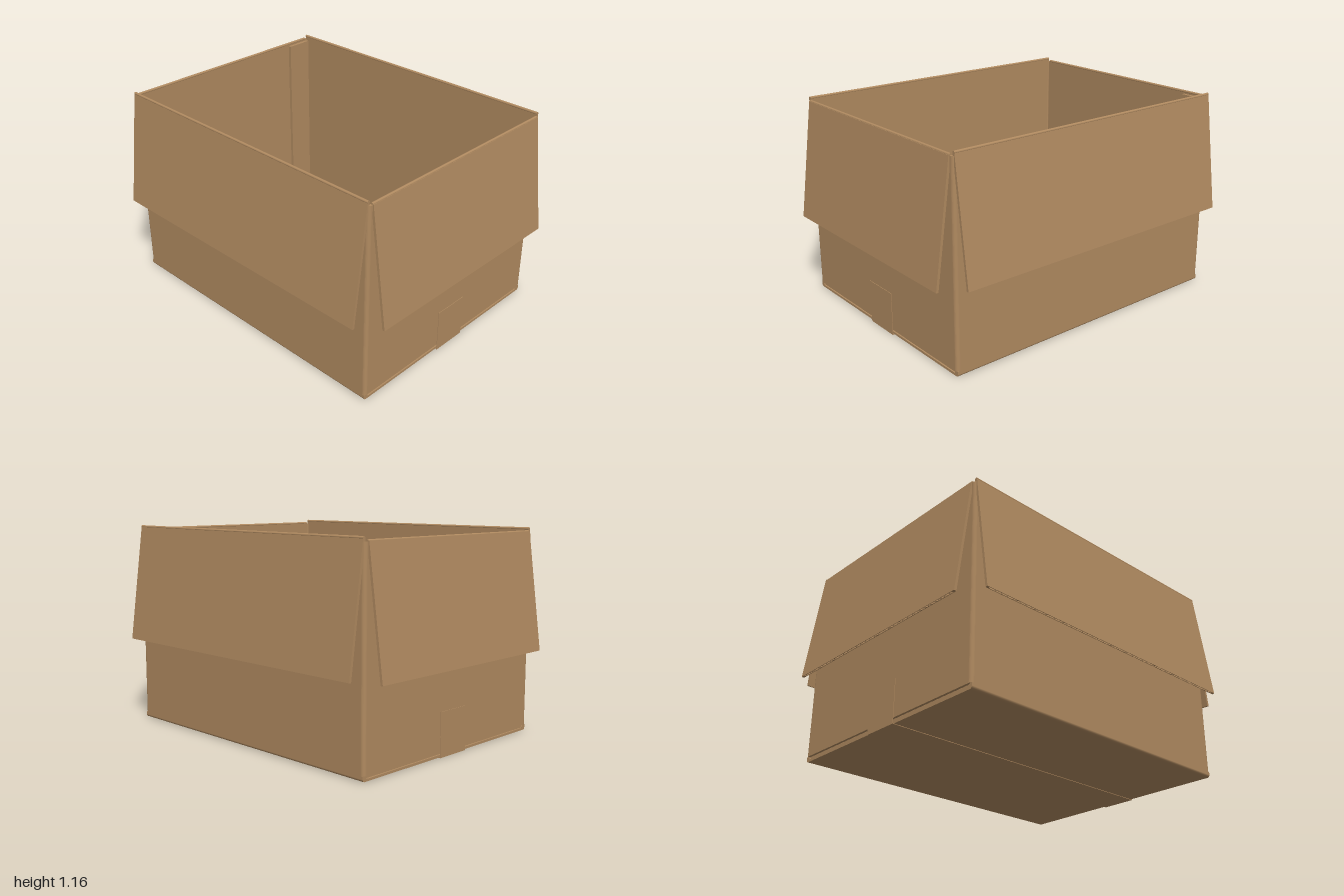
import * as THREE from 'three';

const HX = 0.905, HZ = 0.685; // outer half width and half depth
const T = 0.014;              // board thickness

export function createModel() {
  const box = new THREE.Group();
  box.name = 'openCardboardBox';
  const cardboard = new THREE.MeshStandardMaterial({ color: 0xb08a60 });
  cardboard.name = 'cardboard';

  function add(name, geometry, parent = box) {
    const mesh = new THREE.Mesh(geometry, cardboard);
    mesh.name = name;
    parent.add(mesh);
    return mesh;
  }

  // Box given by its minimum and maximum corners
  function slab(name, x0, x1, y0, y1, z0, z1, parent) {
    const g = new THREE.BoxGeometry(x1 - x0, y1 - y0, z1 - z0);
    g.translate((x0 + x1) / 2, (y0 + y1) / 2, (z0 + z1) / 2);
    return add(name, g, parent);
  }

  // Rod along x, used for rounded folds
  function fold(name, length, r, y, z, parent) {
    const g = new THREE.CylinderGeometry(r, r, length, 16);
    g.rotateZ(Math.PI / 2);
    g.translate(0, y, z);
    return add(name, g, parent);
  }

  function roundRect(path, hx, hz, r) {
    path.moveTo(hx, -hz + r);
    path.lineTo(hx, hz - r);
    path.absarc(hx - r, hz - r, r, 0, Math.PI / 2);
    path.absarc(-hx + r, hz - r, r, Math.PI / 2, Math.PI);
    path.absarc(-hx + r, -hz + r, r, Math.PI, Math.PI * 1.5);
    path.absarc(hx - r, -hz + r, r, Math.PI * 1.5, Math.PI * 2);
    return path;
  }

  // Corrugated panel hanging down from the origin, flutes open at the lower edge
  function corrugated(width, length) {
    const h = T / 2, w = width / 2, skin = 0.003, pitch = 0.04;
    const shape = new THREE.Shape();
    shape.moveTo(-w, -h);
    shape.lineTo(w, -h);
    shape.lineTo(w, h);
    shape.lineTo(-w, h);
    shape.closePath();
    const n = Math.floor((width - 0.03) / (pitch / 2));
    for (let i = 0; i < n; i++) {
      const c = (i - (n - 1) / 2) * pitch / 2;
      const s = i % 2 ? 1 : -1;
      const base = -s * (h - skin), tip = s * (h - skin);
      const hole = new THREE.Path();
      hole.moveTo(c - 0.015, base);
      hole.lineTo(c + 0.015, base);
      hole.lineTo(c + 0.003, tip);
      hole.lineTo(c - 0.003, tip);
      hole.closePath();
      shape.holes.push(hole);
    }
    const g = new THREE.ExtrudeGeometry(shape, { depth: length, bevelEnabled: false });
    g.rotateX(Math.PI / 2);
    return g;
  }

  // Four walls as one sleeve with rounded corners
  const sleeve = roundRect(new THREE.Shape(), HX, HZ, 0.02);
  sleeve.holes.push(roundRect(new THREE.Path(), HX - T, HZ - T, 0.006));
  const walls = new THREE.ExtrudeGeometry(sleeve, { depth: 1.107, bevelEnabled: false, curveSegments: 6 });
  walls.rotateX(-Math.PI / 2);
  walls.translate(0, 0.033, 0);
  add('walls', walls);

  // Top flaps folded outward, each with its rounded fold
  const sides = [
    { name: 'frontFlap', turn: 0, dist: HZ, width: 1.79, top: 1.165, inset: 0.007 },
    { name: 'leftFlap', turn: Math.PI / 2, dist: HX, width: 1.32, top: 1.15, inset: 0.002 },
    { name: 'backFlap', turn: Math.PI, dist: HZ, width: 1.79, top: 1.165, inset: 0.007 },
    { name: 'rightFlap', turn: -Math.PI / 2, dist: HX, width: 1.32, top: 1.15, inset: 0.002 },
  ];
  for (const s of sides) {
    const group = new THREE.Group();
    group.name = s.name;
    group.rotation.y = s.turn;
    box.add(group);
    const panel = add(s.name + 'Panel', corrugated(s.width, 0.668), group);
    panel.position.set(0, s.top - 0.008, s.dist - s.inset);
    panel.rotation.x = -0.135;
    fold(s.name + 'Fold', s.width, 0.008, s.top - 0.008, s.dist - 0.007, group);
    slab(s.name + 'WallEdge', -s.width / 2, s.width / 2, 1.13, s.top - 0.007,
      s.dist - T, s.dist, group);
  }

  // Bottom: outer flaps meet in the middle, inner flaps lie on top of them
  for (const s of [-1, 1]) {
    const half = new THREE.Group();
    half.name = s > 0 ? 'frontBottomFlap' : 'backBottomFlap';
    half.rotation.y = s > 0 ? 0 : Math.PI;
    box.add(half);
    slab('outerBottomPanel', -0.9, 0.9, 0.003, 0.016, 0.001, HZ - 0.014, half);
    fold('outerBottomFold', 1.8, 0.014, 0.017, HZ - 0.014, half);
    slab('lowerWallEdge', -0.9, 0.9, 0.017, 0.034, HZ - T, HZ, half);

    const inner = new THREE.Group();
    inner.name = s > 0 ? 'leftBottomFlap' : 'rightBottomFlap';
    inner.rotation.y = s > 0 ? 0 : Math.PI;
    box.add(inner);
    slab('innerBottomPanel', 0.228, 0.893, 0.017, 0.031, -0.66, 0.66, inner);
    // Tape end climbing the side wall
    slab('tapeEnd', HX, HX + 0.003, 0, 0.245, -0.105, 0.105, inner);
  }

  // Tape over the bottom seam
  slab('bottomTape', -HX, HX, 0, 0.003, -0.105, 0.105);

  // Glued joint tab inside the back right corner
  slab('glueTab', -HX + T, -0.872, 0.032, 1.13, -HZ + T, -0.512);

  return box;
}
